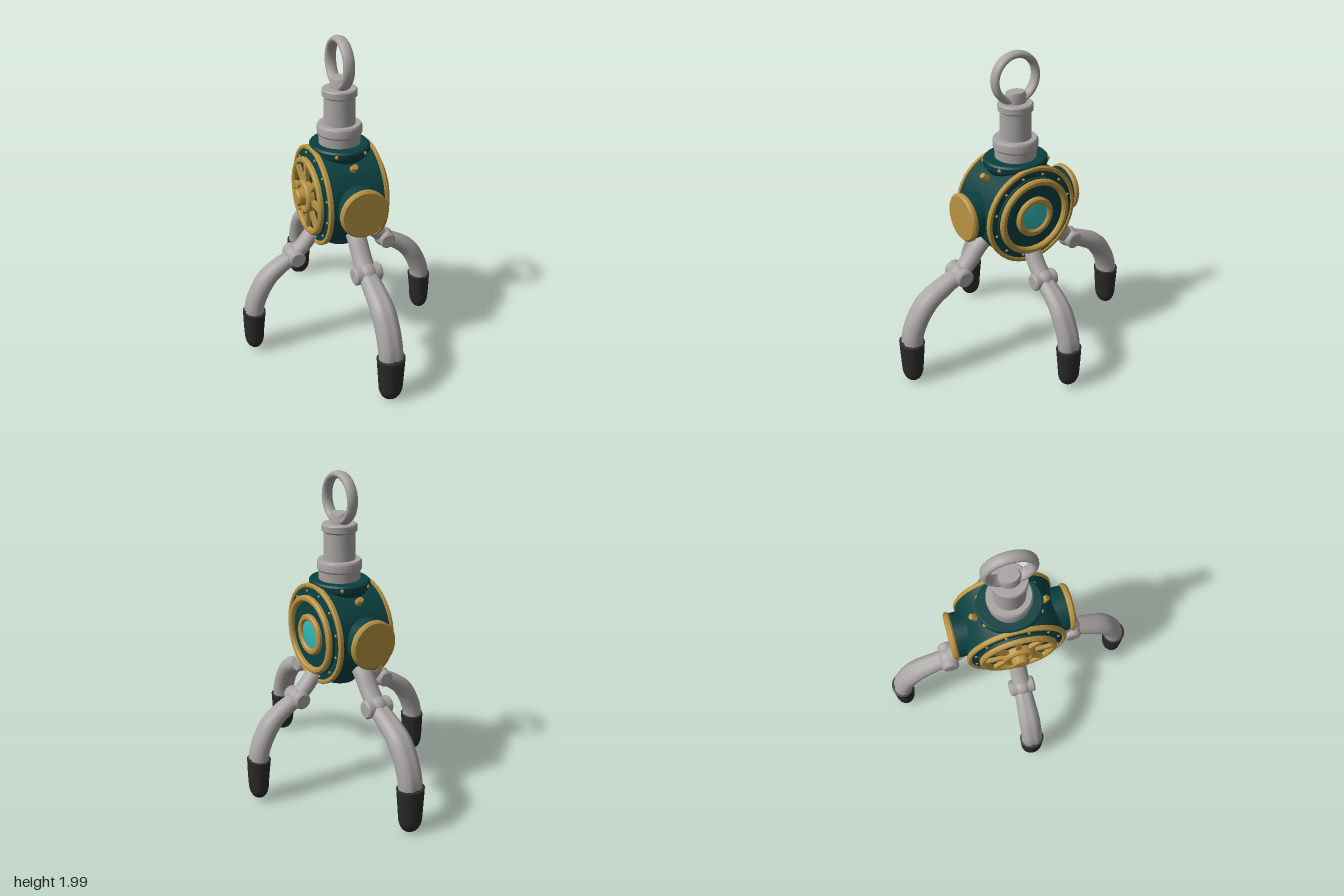
import * as THREE from 'three';
import { toCreasedNormals } from 'three/addons/utils/BufferGeometryUtils.js';

const mat = (name, color) => {
  const m = new THREE.MeshStandardMaterial({ color });
  m.name = name;
  return m;
};

export function createModel() {
  const steel = mat('steel', 0xa8a5a3);
  const teal = mat('dark teal', 0x0b4040);
  const gold = mat('gold', 0xb89241);
  const rubber = mat('black rubber', 0x2a2a2a);
  const glass = mat('cyan glass', 0x30b8b4);

  const add = (parent, name, geometry, material, x = 0, y = 0, z = 0) => {
    const mesh = new THREE.Mesh(geometry, material);
    mesh.name = name;
    mesh.position.set(x, y, z);
    parent.add(mesh);
    return mesh;
  };
  const group = (parent, name, x = 0, y = 0, z = 0) => {
    const g = new THREE.Group();
    g.name = name;
    g.position.set(x, y, z);
    parent.add(g);
    return g;
  };
  // Turned part about y; profile of [radius, y] from bottom to top
  const lathe = (profile, segments = 40) => toCreasedNormals(
    new THREE.LatheGeometry(profile.map(([r, y]) => new THREE.Vector2(r, y)), segments), 0.6);
  // Flat ring with a bevelled outer face
  const ring = (inner, outer, y0, y1, b = 0.01) => lathe([
    [inner, y0], [outer, y0], [outer, y1 - b], [outer - b, y1],
    [inner + b, y1], [inner, y1 - b], [inner, y0]]);

  // Sweep along a path in the xy plane; section(u) gives [half thickness, half width]
  const sweep = (points, section, steps = 28, groove = 0) => {
    const curve = new THREE.CatmullRomCurve3(points.map(([x, y]) => new THREE.Vector3(x, y, 0)));
    const sides = 24, pos = [], index = [];
    for (let i = 0; i <= steps; i++) {
      const u = i / steps, p = curve.getPointAt(u), t = curve.getTangentAt(u);
      const [thick, width] = section(u);
      for (let j = 0; j < sides; j++) {
        const a = j / sides * Math.PI * 2;
        const dent = j === 0 ? 1 - groove : 1;
        const n = Math.cos(a) * thick * dent;
        pos.push(p.x - t.y * n, p.y + t.x * n, Math.sin(a) * width);
        if (i < steps) {
          const k = (j + 1) % sides, A = i * sides, B = A + sides;
          index.push(A + j, A + k, B + j, A + k, B + k, B + j);
        }
      }
    }
    const g = new THREE.BufferGeometry();
    g.setAttribute('position', new THREE.Float32BufferAttribute(pos, 3));
    g.setIndex(index);
    g.computeVertexNormals();
    return g;
  };

  const model = new THREE.Group();
  model.name = 'grappleClaw';
  const CY = 1.03;

  // Drum body, lying along x
  const body = group(model, 'body', 0, CY, 0);
  add(body, 'drum', lathe([[0, -0.18], [0.305, -0.18], [0.305, 0.18], [0, 0.18]], 48), teal)
    .rotation.z = -Math.PI / 2;
  add(body, 'topCollar', lathe([[0.15, 0.2], [0.19, 0.27], [0.2, 0.285], [0.2, 0.315], [0.19, 0.325], [0, 0.325]]), teal)
    .scale.x = 0.9;
  add(body, 'bottomCollar', lathe([[0, -0.33], [0.1, -0.33], [0.13, -0.28], [0.13, -0.2]]), teal);

  // Both round faces: rim, raised ring and rivets
  for (const s of [1, -1]) {
    const face = group(body, s > 0 ? 'lensFace' : 'wheelFace');
    face.rotation.z = -s * Math.PI / 2;
    add(face, 'rim', ring(0.285, 0.312, 0.165, 0.192, 0.006), gold);
    add(face, 'facePlate', lathe([[0.286, 0.17], [0.286, 0.185], [0.25, 0.188], [0.25, 0.202], [0, 0.202]]), teal);
    add(face, 'raisedRing', ring(0.205, 0.243, 0.18, 0.23), gold);
    for (let i = 0; i < 12; i++) {
      const a = (i + 0.5) / 12 * Math.PI * 2;
      add(face, 'rivet', new THREE.SphereGeometry(0.009, 8, 6), gold,
        Math.cos(a) * 0.265, 0.187, Math.sin(a) * 0.265);
    }
    if (s > 0) {
      add(face, 'lensRing', ring(0.086, 0.127, 0.19, 0.228), gold);
      add(face, 'lens', lathe([[0.09, 0.2], [0.09, 0.212], [0.05, 0.218], [0, 0.22]]), glass);
    } else {
      // Spoked wheel with a stepped hub
      add(face, 'hub', lathe([[0.105, 0.19], [0.105, 0.24], [0.095, 0.25], [0.075, 0.25], [0.07, 0.24],
        [0.052, 0.24], [0.052, 0.277], [0.044, 0.288], [0, 0.29]]), gold);
      for (let i = 0; i < 8; i++) {
        const spoke = group(face, 'spoke');
        spoke.rotation.y = i / 8 * Math.PI * 2;
        add(spoke, 'spokeBar', new THREE.BoxGeometry(0.13, 0.03, 0.034), gold, 0.155, 0.212, 0);
      }
    }
  }

  // Capped ports front and back, with a stud above each
  for (const s of [1, -1]) {
    const port = group(body, s > 0 ? 'frontPort' : 'backPort', 0, 0.01, 0);
    port.rotation.x = s * Math.PI / 2;
    add(port, 'portTube', lathe([[0.14, 0.2], [0.14, 0.36], [0, 0.36]]), teal);
    add(port, 'portCap', lathe([[0, 0.35], [0.14, 0.35], [0.15, 0.36], [0.15, 0.378], [0.138, 0.39], [0, 0.39]]), gold);
    const stud = add(body, 'stud', new THREE.CylinderGeometry(0.018, 0.024, 0.05, 10), gold, 0, 0.235, s * 0.217);
    stud.rotation.x = s * Math.PI / 4;
    for (const x of [-0.09, 0.09])
      add(body, 'collarRivet', new THREE.SphereGeometry(0.012, 8, 6), gold, x, 0.3, s * 0.172);
  }

  // Neck and hanging ring
  add(model, 'neck', lathe([[0.125, 1.33], [0.128, 1.41], [0.136, 1.42], [0.136, 1.465], [0.128, 1.477],
    [0.096, 1.477], [0.094, 1.64], [0.106, 1.65], [0.106, 1.685], [0.1, 1.693], [0, 1.693]]), steel);
  add(model, 'ringSocket', lathe([[0.068, 1.68], [0.066, 1.74], [0.058, 1.758], [0, 1.76]], 24), steel).scale.x = 0.8;
  const loop = add(model, 'hangingRing', new THREE.TorusGeometry(0.139, 0.022, 14, 40), steel, 0, 1.839, 0);
  loop.rotation.y = Math.PI / 2;
  loop.scale.z = 1.6;

  // Claw legs: arm, knuckle, curved finger and rubber tip
  const side = {
    arm: [[0.13, 0.84], [0.2, 0.755], [0.25, 0.695], [0.31, 0.64]],
    finger: [[0.3, 0.635], [0.4, 0.585], [0.49, 0.515], [0.55, 0.42], [0.583, 0.33], [0.588, 0.26]],
    knuckle: [0.31, 0.637], tip: [[0.586, 0.3], [0.593, 0.17], [0.595, 0.03]], size: 0.93,
  };
  const long = {
    arm: [[0.2, 0.88], [0.27, 0.82], [0.34, 0.735], [0.41, 0.66]],
    finger: [[0.4, 0.665], [0.53, 0.605], [0.64, 0.54], [0.715, 0.44], [0.755, 0.34], [0.765, 0.26]],
    knuckle: [0.415, 0.66], tip: [[0.765, 0.3], [0.77, 0.16], [0.775, 0.01]], size: 1,
  };
  const legs = [['leftLeg', side, 0], ['backLeg', long, 1], ['rightLeg', side, 2], ['frontLeg', long, 3]];
  for (const [name, spec, quarter] of legs) {
    const leg = group(model, name);
    leg.rotation.y = quarter * Math.PI / 2;
    const k = spec.size;
    add(leg, 'arm', sweep(spec.arm, () => [0.052 * k, 0.06 * k], 12), steel);
    const [kx, ky] = spec.knuckle;
    add(leg, 'knuckle', new THREE.SphereGeometry(0.068 * k, 24, 16), steel, kx, ky, 0);
    const pin = add(leg, 'knucklePin', lathe([[0, -0.088], [0.045, -0.088], [0.056, -0.078],
      [0.056, 0.078], [0.045, 0.088], [0, 0.088]], 24), steel, kx, ky, 0);
    pin.rotation.x = Math.PI / 2;
    pin.scale.setScalar(k);
    add(leg, 'finger', sweep(spec.finger,
      u => [(0.05 + 0.015 * Math.min(1, u * 2)) * k, (0.058 + 0.017 * Math.min(1, u * 2)) * k], 28, 0.14), steel);
    // Tip closes at the top edge and rounds off at the bottom
    add(leg, 'tip', sweep(spec.tip, u => {
      const end = u > 0.72 ? Math.sqrt(Math.max(0, 1 - ((u - 0.72) / 0.28) ** 2)) : 1;
      const f = (u === 0 ? 0.01 : 1) * (0.3 + 0.7 * end) * (u === 1 ? 0.01 : 1);
      return [(0.077 - 0.018 * u) * k * f, (0.087 - 0.018 * u) * k * f];
    }, 32), rubber);
  }
  return model;
}
